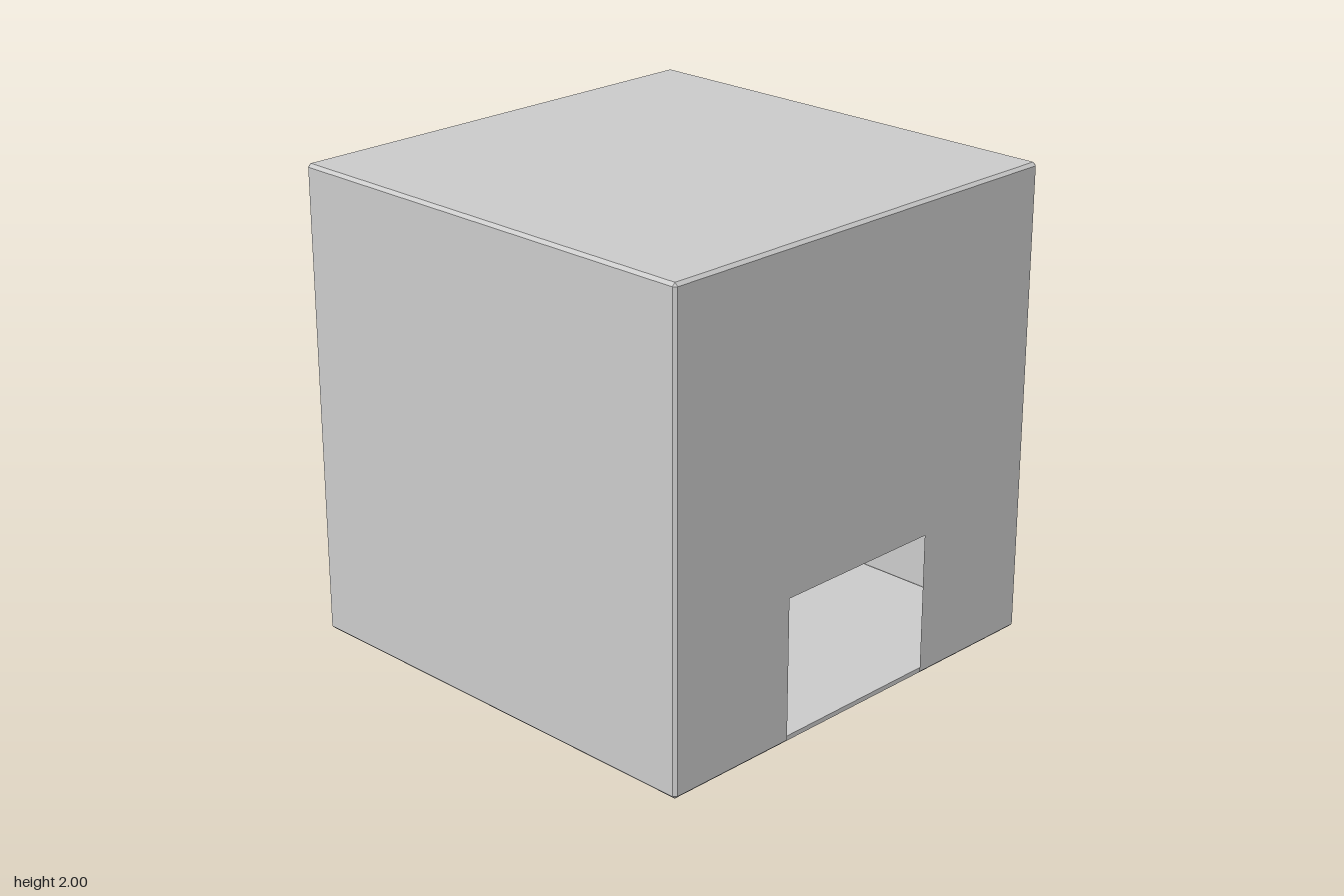
import * as THREE from 'three';

const C = 0.013;          // chamfer width
const F = 1 - C;          // half size of each flat face
const DOOR_X = 0.393, DOOR_TOP = 0.61;

export function createModel() {
  const model = new THREE.Group();
  const material = new THREE.MeshStandardMaterial({ color: 0xcccccc, side: THREE.DoubleSide, flatShading: true });
  const add = (name, geometry, parent = model) => {
    const mesh = new THREE.Mesh(geometry, material);
    mesh.name = name;
    parent.add(mesh);
    return mesh;
  };

  // thin wall with an open doorway reaching its lower edge
  const doorWall = (right) => {
    const s = new THREE.Shape();
    s.moveTo(-F, C);
    s.lineTo(-DOOR_X, C);
    s.lineTo(-DOOR_X, DOOR_TOP);
    s.lineTo(right, DOOR_TOP);
    s.lineTo(right, C);
    s.lineTo(F, C);
    s.lineTo(F, 2 - C);
    s.lineTo(-F, 2 - C);
    return new THREE.ShapeGeometry(s);
  };
  add('frontWall', doorWall(DOOR_X).translate(0, 0, 1));
  add('backWall', doorWall(DOOR_X).rotateY(Math.PI).translate(0, 0, -1));

  // closed side walls, roof and floor slab
  for (const [name, s] of [['leftWall', 1], ['rightWall', -1]]) {
    add(name, new THREE.PlaneGeometry(2 * F, 2 * F).rotateY(s * Math.PI / 2).translate(s, 1, 0));
  }
  add('roof', new THREE.PlaneGeometry(2 * F, 2 * F).rotateX(-Math.PI / 2).translate(0, 2, 0));
  add('floor', new THREE.BoxGeometry(2 * F, 0.02, 2 * F).translate(0, 0.01, 0));

  // chamfer strip along x at the top or bottom front edge, between two x positions
  const strip = (x0, x1, s) => new THREE.PlaneGeometry(x1 - x0, C * Math.SQRT2)
    .rotateX(-s * Math.PI / 4)
    .translate((x0 + x1) / 2, s * (1 - C / 2), 1 - C / 2);

  // the four sides repeat the same chamfers around the vertical axis
  for (let i = 0; i < 4; i++) {
    const edges = new THREE.Group();
    edges.name = 'edgeChamfers';
    edges.position.y = 1;
    edges.rotation.y = i * Math.PI / 2;
    model.add(edges);
    add('topChamfer', strip(-F, F, 1), edges);
    if (i % 2) {
      add('bottomChamfer', strip(-F, F, -1), edges);
    } else {
      // interrupted by the doorway
      add('bottomChamfer', strip(-F, -DOOR_X, -1), edges);
      add('bottomChamfer', strip(DOOR_X, F, -1), edges);
    }
    add('cornerChamfer', new THREE.PlaneGeometry(C * Math.SQRT2, 2 * F)
      .rotateY(Math.PI / 4).translate(1 - C / 2, 0, 1 - C / 2), edges);
    // small triangles closing the corners
    for (const s of [1, -1]) {
      const p = [[1, s * F, F], [F, s, F], [F, s * F, 1]].map((v) => new THREE.Vector3(...v));
      if (s < 0) p.reverse();
      const g = new THREE.BufferGeometry().setFromPoints(p);
      g.computeVertexNormals();
      add('cornerTip', g, edges);
    }
  }
  return model;
}
